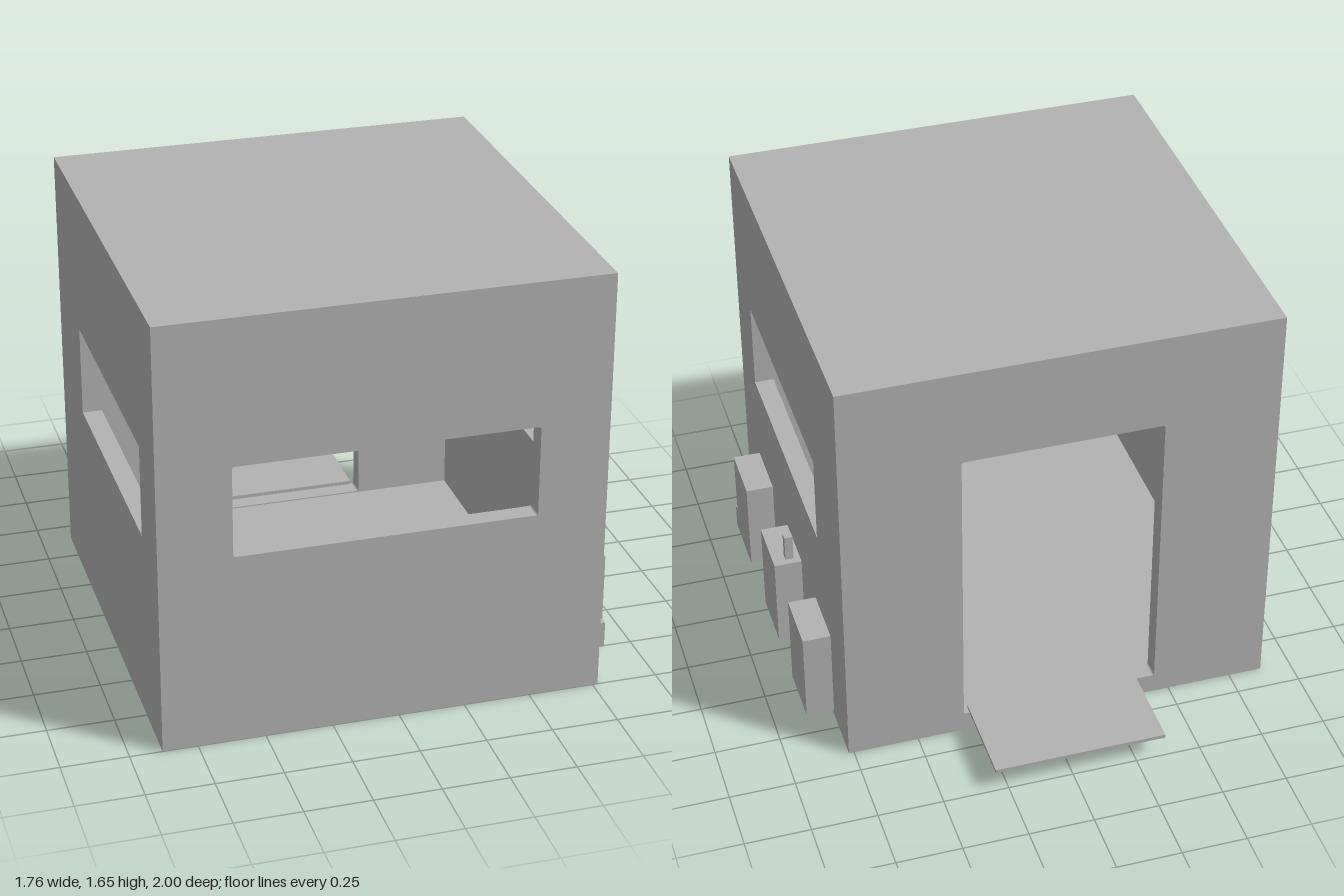
import * as THREE from 'three';

const SIZE = 1.65;   // outer cube edge
const T = 0.075;     // wall thickness

// Rectangle outline, optionally with slightly rounded corners
function outline(x0, y0, x1, y1, r, Kind = THREE.Shape) {
  const s = new Kind();
  if (!r) {
    s.setFromPoints([[x0, y0], [x1, y0], [x1, y1], [x0, y1]].map(p => new THREE.Vector2(...p)));
    return s;
  }
  s.moveTo(x0 + r, y0);
  s.lineTo(x1 - r, y0); s.quadraticCurveTo(x1, y0, x1, y0 + r);
  s.lineTo(x1, y1 - r); s.quadraticCurveTo(x1, y1, x1 - r, y1);
  s.lineTo(x0 + r, y1); s.quadraticCurveTo(x0, y1, x0, y1 - r);
  s.lineTo(x0, y0 + r); s.quadraticCurveTo(x0, y0, x0 + r, y0);
  return s;
}

// One side of the hollow shell: outer skin, inner skin and the reveal of its opening
function wallGeometry(hole, r = 0) {
  const pos = [];
  const skin = (half, z, flip) => {
    const shape = outline(-half, -half, half, half, 0);
    if (hole) shape.holes.push(outline(...hole, r, THREE.Path));
    const p = new THREE.ShapeGeometry(shape, 3).toNonIndexed().attributes.position;
    for (let i = 0; i < p.count; i += 3)
      for (const k of flip ? [0, 2, 1] : [0, 1, 2]) pos.push(p.getX(i + k), p.getY(i + k), z);
  };
  skin(SIZE / 2, 0, false);
  skin(SIZE / 2 - T, -T, true);
  if (hole) {
    const pts = outline(...hole, r).getPoints(3);
    pts.forEach((a, i) => {
      const b = pts[(i + 1) % pts.length];
      if (a.distanceTo(b) < 1e-6) return;
      pos.push(a.x, a.y, 0, b.x, b.y, 0, b.x, b.y, -T);
      pos.push(a.x, a.y, 0, b.x, b.y, -T, a.x, a.y, -T);
    });
  }
  const g = new THREE.BufferGeometry();
  g.setAttribute('position', new THREE.Float32BufferAttribute(pos, 3));
  g.computeVertexNormals();
  return g;
}

export function createModel() {
  const model = new THREE.Group();
  model.name = 'cabin';
  const grey = new THREE.MeshStandardMaterial({ color: 0xb2b2b2 });
  grey.name = 'plain grey';

  // Hollow cabin shell
  const shell = new THREE.Group();
  shell.name = 'shell';
  shell.position.set(-0.055, SIZE / 2, 0.175);
  model.add(shell);
  const H = Math.PI / 2;
  const walls = [
    ['frontWall', 0, 0, [-0.555, -0.08, 0.565, 0.27], 0.01],
    ['sideWallLeft', 0, H, [-0.585, -0.08, 0.445, 0.27]],
    ['sideWallRight', 0, -H, [-0.445, -0.08, 0.585, 0.27]],
    ['doorWall', 0, Math.PI, [-0.375, -0.745, 0.385, 0.445], 0.01],
    ['roof', -H, 0],
    ['floor', H, 0],
  ];
  for (const [name, rx, ry, hole, r] of walls) {
    const wall = new THREE.Mesh(wallGeometry(hole, r), grey);
    wall.name = name;
    wall.rotation.set(rx, ry, 0);
    wall.position.set(0, 0, SIZE / 2).applyEuler(wall.rotation);
    shell.add(wall);
  }

  // Solid block given by its two extreme corners
  const block = (name, x0, y0, z0, x1, y1, z1) => {
    const m = new THREE.Mesh(new THREE.BoxGeometry(x1 - x0, y1 - y0, z1 - z0), grey);
    m.name = name;
    m.position.set((x0 + x1) / 2, (y0 + y1) / 2, (z0 + z1) / 2);
    model.add(m);
  };

  // Door step
  block('doorStep', -0.36, 0.087, -1, 0.3, 0.102, -0.63);

  // Row of equipment boxes on the side wall
  [[0.525, 0.76], [0.035, 0.27], [-0.425, -0.19]].forEach(([z0, z1], i) =>
    block('equipmentBox' + (i + 1), 0.77, 0.023, z0, 0.877, 0.393, z1));
  block('boxFoot', 0.77, 0.023, 0.76, 0.877, 0.125, 0.79);
  block('boxPipe', 0.795, 0.393, 0.062, 0.827, 0.498, 0.092);

  return model;
}
